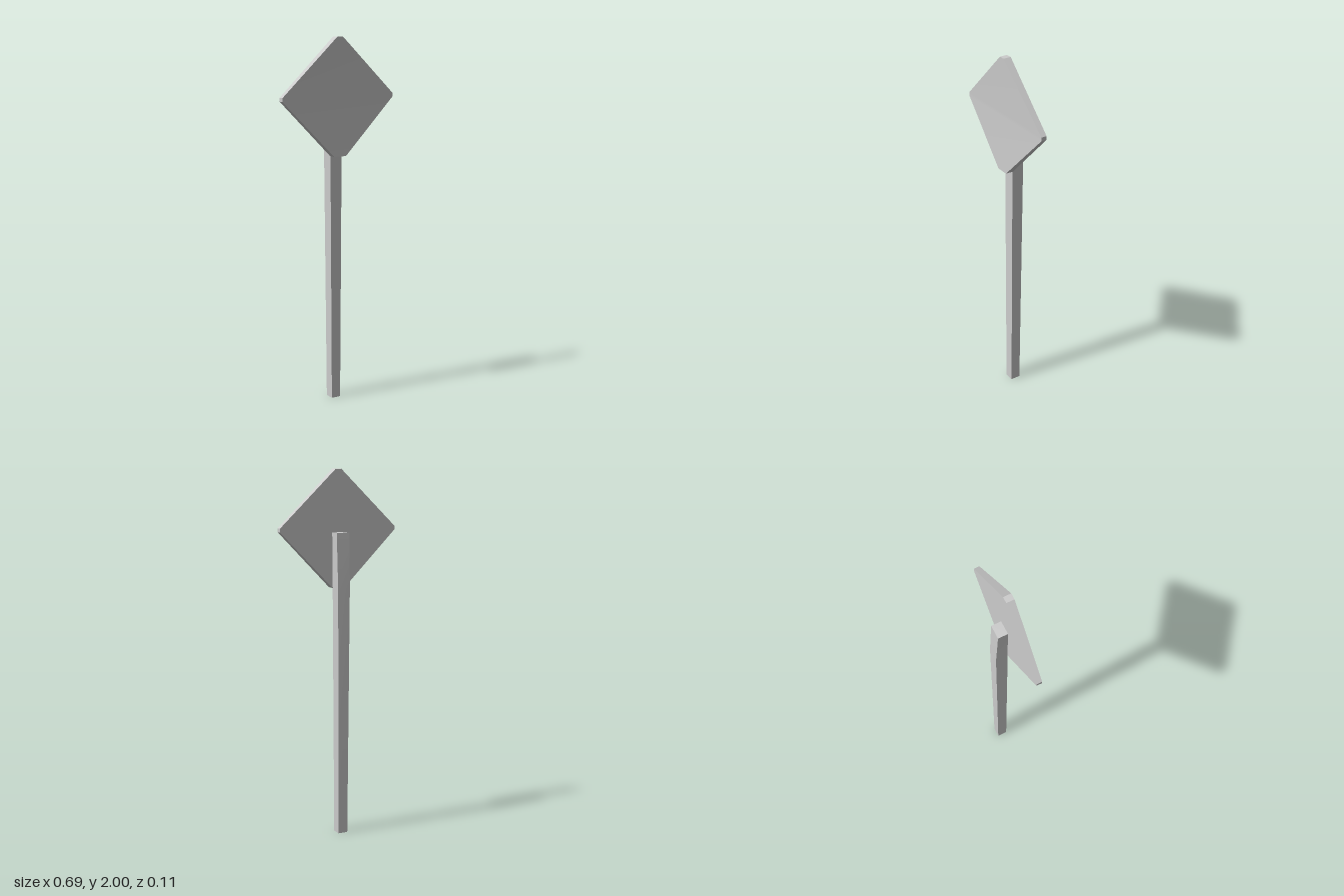
import * as THREE from 'three';
import { toCreasedNormals } from 'three/addons/utils/BufferGeometryUtils.js';

// Box whose horizontal rows follow sections [y, halfWidth, backZ, frontZ], bottom to top
function loft(name, sections) {
  const rows = sections.length - 1;
  const box = new THREE.BoxGeometry(1, 1, 1, 1, rows, 1);
  const pos = box.attributes.position;
  for (let i = 0; i < pos.count; i++) {
    const [y, half, back, front] = sections[Math.round((pos.getY(i) + 0.5) * rows)];
    pos.setXYZ(i, Math.sign(pos.getX(i)) * half, y, pos.getZ(i) > 0 ? front : back);
  }
  const mesh = new THREE.Mesh(
    toCreasedNormals(box, 0.4),
    new THREE.MeshStandardMaterial({ color: 0xcccccc })
  );
  mesh.name = name;
  return mesh;
}

export function createModel() {
  const group = new THREE.Group();
  group.name = 'diamondSign';

  // Post: slightly wider towards the top, bent just below the panel
  group.add(loft('post', [
    [0, 0.027, -0.043, 0.012],
    [1.36, 0.035, -0.055, 0.012],
    [1.663, 0.038, -0.044, 0.012],
  ]));

  // Diamond panel: cut corners, front face thinner across the middle
  group.add(loft('signPanel', [
    [1.364, 0.037, 0.011, 0.054],
    [1.67, 0.343, 0.011, 0.042],
    [1.69, 0.343, 0.011, 0.042],
    [2, 0.017, 0.011, 0.054],
  ]));

  return group;
}
